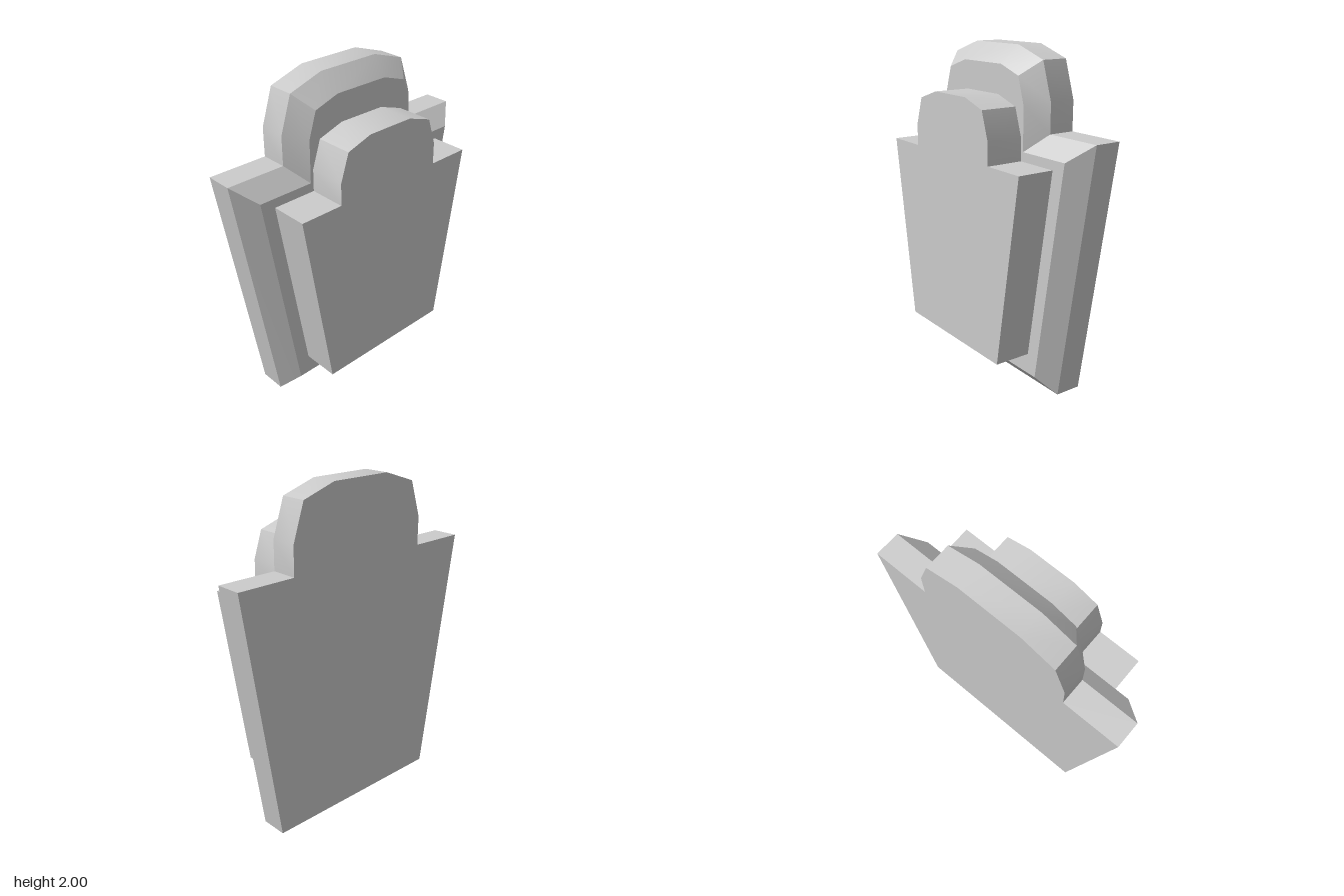
import * as THREE from 'three';
import { toCreasedNormals } from 'three/addons/utils/BufferGeometryUtils.js';

// Half outlines [width, height], from the foot up to the crown
const OUTER = [[0.61, 0], [0.85, 1.535], [0.487, 1.535], [0.487, 1.71], [0.415, 1.93], [0.2, 2]];
const BEVEL = [[0.522, 0.108], [0.728, 1.432], [0.384, 1.432], [0.382, 1.69], [0.333, 1.845], [0.176, 1.897]];
const PLATE = [[0.456, 0.232], [0.635, 1.377], [0.365, 1.377], [0.364, 1.51], [0.31, 1.675], [0.15, 1.727]];

// Full counter-clockwise outline, seen from +x
const mirror = (half) => [
  ...half.map(([u, v]) => new THREE.Vector2(u, v)),
  ...half.map(([u, v]) => new THREE.Vector2(-u, v)).reverse(),
];

// Solid through a series of outlines, each at its own x, closed at both ends
function loft(name, layers) {
  const rings = layers.map(([x, half]) => ({ x, points: mirror(half) }));
  const n = rings[0].points.length;
  const positions = [];
  const put = (ring, i) => {
    const p = ring.points[i % n];
    positions.push(ring.x, p.y, -p.x);
  };

  // walls between neighbouring outlines
  for (let r = 0; r < rings.length - 1; r++) {
    const a = rings[r], b = rings[r + 1];
    for (let i = 0; i < n; i++) {
      put(a, i); put(a, i + 1); put(b, i + 1);
      put(a, i); put(b, i + 1); put(b, i);
    }
  }

  // flat end faces
  const first = rings[0], last = rings[rings.length - 1];
  for (const [i, j, k] of THREE.ShapeUtils.triangulateShape(last.points, [])) {
    put(last, i); put(last, j); put(last, k);
  }
  for (const [i, j, k] of THREE.ShapeUtils.triangulateShape(first.points, [])) {
    put(first, i); put(first, k); put(first, j);
  }

  const geometry = new THREE.BufferGeometry();
  geometry.setAttribute('position', new THREE.Float32BufferAttribute(positions, 3));
  const mesh = new THREE.Mesh(
    toCreasedNormals(geometry, Math.PI / 6),
    new THREE.MeshStandardMaterial({ color: 0xcccccc }),
  );
  mesh.name = name;
  return mesh;
}

export function createModel() {
  const group = new THREE.Group();
  group.name = 'plaque';
  group.add(
    // bevelled backing slab
    loft('backSlab', [[-0.247, OUTER], [-0.085, OUTER], [0.02, BEVEL]]),
    // smaller raised plate on its face
    loft('raisedPlate', [[0.02, PLATE], [0.247, PLATE]]),
  );
  return group;
}
